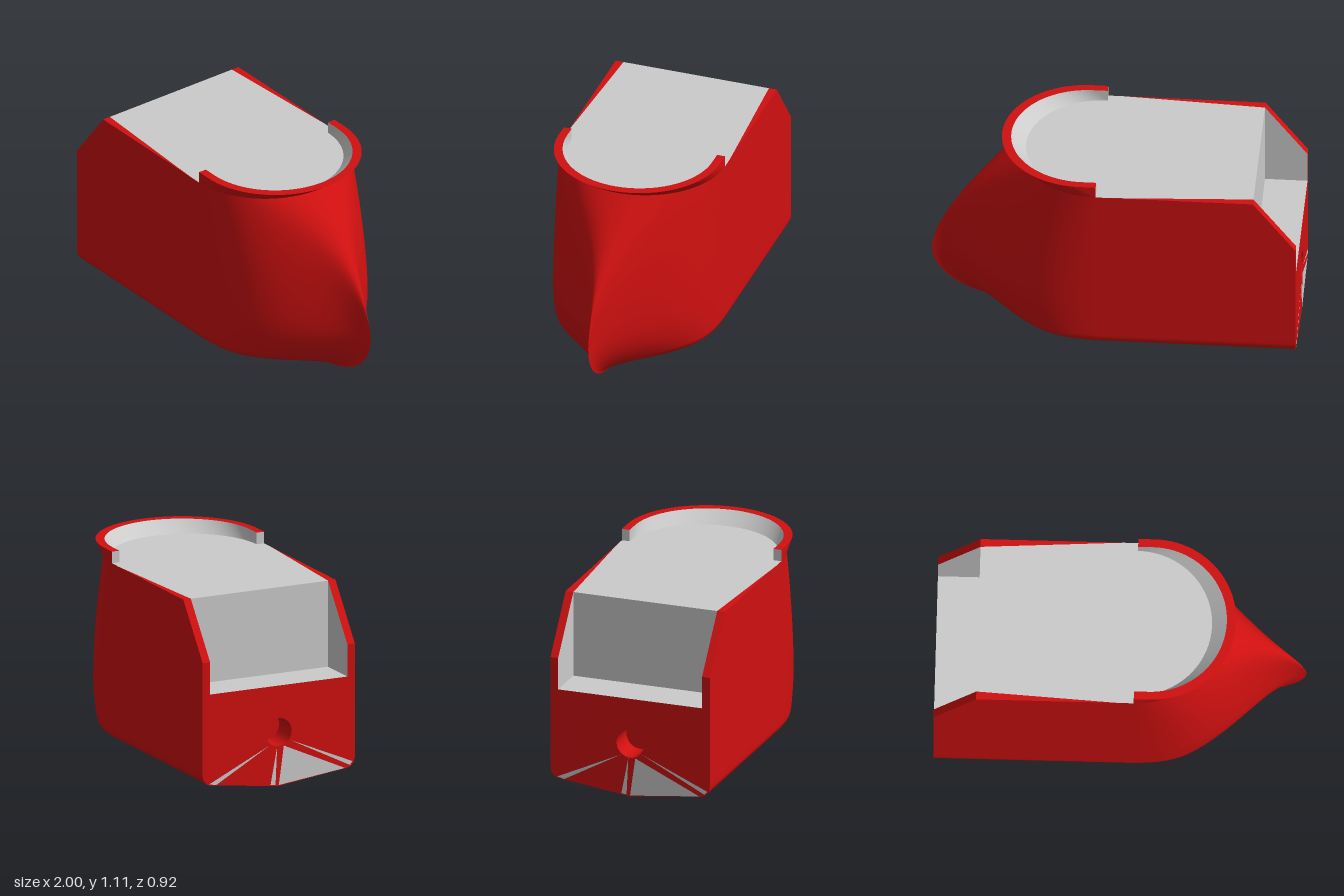
import * as THREE from 'three';

const RED = new THREE.MeshStandardMaterial({ color: 0xd01010, side: THREE.DoubleSide });
const GREY = new THREE.MeshStandardMaterial({ color: 0xcccccc, side: THREE.DoubleSide });

const DECK = 1.04, RIM = 1.105, HALF = 0.46, INNER = 0.415, BOW = 0.08;
const STERN = -1, NOTCH = -0.77, SLOPE = 0.74, FLOOR = 0.56;

// Stem profile: how far forward the hull reaches at height y
function stemX(y) {
  if (y < 0.32) return 0.53 + 0.47 * Math.sqrt(1 - ((0.32 - y) / 0.32) ** 2);
  return 1 - 0.47 * ((y - 0.32) / 0.72) ** 1.6;
}

// Waterline taper: a pointed S-curve low down, round at deck level
function taper(t, y) {
  const pointed = 0.92 * 0.5 * (1 + Math.cos(Math.PI * t ** 1.55)) + 0.08 * (1 - t);
  const round = Math.sqrt(Math.max(0, 1 - t * t));
  const b = Math.max(0, (y - 0.32) / 0.72) ** 1.5;
  return pointed * (1 - b) + round * b;
}

// Smooth surface through rows of points
function surface(rows, flip = false) {
  const n = rows[0].length, index = [];
  for (let i = 0; i < rows.length - 1; i++) {
    for (let j = 0; j < n - 1; j++) {
      const a = i * n + j, b = a + 1, c = a + n, d = c + 1;
      if (flip) index.push(a, c, b, b, c, d);
      else index.push(a, b, c, b, d, c);
    }
  }
  const g = new THREE.BufferGeometry();
  g.setAttribute('position', new THREE.Float32BufferAttribute(rows.flat(2), 3));
  g.setIndex(index);
  g.computeVertexNormals();
  return g;
}

// Flat convex polygon
function polygon(pts) {
  const index = [];
  for (let i = 1; i < pts.length - 1; i++) index.push(0, i, i + 1);
  const g = new THREE.BufferGeometry();
  g.setAttribute('position', new THREE.Float32BufferAttribute(pts.flat(), 3));
  g.setIndex(index);
  g.computeVertexNormals();
  return g;
}

const mirrorZ = (pts) => pts.map(([x, y, z]) => [x, y, -z]);

// Half-oval outline round the bow, from +z to -z
function bowOutline(cx, rx, rz, y) {
  const pts = [[BOW, y, rz]];
  for (let i = 0; i <= 48; i++) {
    const a = Math.PI / 2 - (Math.PI * i) / 48;
    pts.push([cx + rx * Math.cos(a), y, rz * Math.sin(a)]);
  }
  pts.push([BOW, y, -rz]);
  return pts;
}

export function createModel() {
  const model = new THREE.Group();
  const add = (name, geometry, material) => {
    const mesh = new THREE.Mesh(geometry, material);
    mesh.name = name;
    model.add(mesh);
    return mesh;
  };
  const addPair = (name, pts, material) => {
    add(name + 'Left', polygon(pts), material);
    add(name + 'Right', polygon(mirrorZ(pts).reverse()), material);
  };

  // Midship section: shallow V bottom, rounded bilge, upright side
  const section = [];
  for (let i = 0; i < 8; i++) section.push([0.05 * i, 0.00625 * i]);
  for (let i = 0; i <= 8; i++) {
    const a = (Math.PI / 2) * (i / 8);
    section.push([0.4 + 0.06 * Math.sin(a), 0.11 - 0.06 * Math.cos(a)]);
  }
  for (let i = 1; i <= 18; i++) section.push([HALF, 0.11 + ((SLOPE - 0.11) * i) / 18]);
  for (let i = 1; i <= 10; i++) section.push([HALF, SLOPE + ((DECK - SLOPE) * i) / 10]);

  // Hull sides, one waterline per section point
  const rows = section.map(([z, y]) => {
    const start = STERN + Math.max(0, (y - SLOPE) / (DECK - SLOPE)) * (NOTCH - STERN);
    const row = [];
    for (let j = 0; j < 6; j++) row.push([start + ((BOW - start) * j) / 6, y, z]);
    for (let j = 0; j <= 32; j++) {
      const t = j === 32 ? 1 : Math.sin((Math.PI / 2) * (j / 32));
      row.push([BOW + (stemX(y) - BOW) * t, y, j === 32 ? 0 : z * taper(t, y)]);
    }
    return row;
  });
  add('hullLeft', surface(rows), RED);
  add('hullRight', surface(rows.map(mirrorZ), true), RED);

  // Transom with a round hole
  const holeY = 0.3, holeR = 0.078, holeDepth = 0.15;
  const half = section.filter(([, y]) => y <= SLOPE + 1e-6);
  const outline = [...half, [INNER, SLOPE], [INNER, FLOOR]];
  const all = [...outline, ...outline.slice(1).reverse().map(([z, y]) => [-z, y])];
  const shape = new THREE.Shape(all.map(([z, y]) => new THREE.Vector2(z, y)));
  shape.holes.push(new THREE.Path().absarc(0, holeY, holeR, 0, Math.PI * 2, true));
  add('transom', new THREE.ShapeGeometry(shape, 16).rotateY(-Math.PI / 2).translate(STERN, 0, 0), RED);
  const bore = new THREE.CylinderGeometry(holeR, holeR, holeDepth, 32, 1, true).rotateZ(Math.PI / 2);
  add('transomHole', bore.translate(STERN + holeDepth / 2, holeY, 0), RED);
  const bottom = new THREE.CircleGeometry(holeR, 32).rotateY(-Math.PI / 2);
  add('transomHoleEnd', bottom.translate(STERN + holeDepth, holeY, 0), RED);

  // Grey wedges on the transom below the hole
  const wedges = [
    [[0, 0.005], [0.4, 0.052], [0.03, 0.222]],
    [[-0.42, 0.06], [-0.38, 0.05], [-0.05, 0.235]],
    [[0.43, 0.065], [0.445, 0.085], [0.065, 0.25]],
    [[-0.05, 0.012], [-0.02, 0.008], [-0.01, 0.22]],
  ];
  for (const w of wedges) add('transomWedge', polygon(w.map(([z, y]) => [STERN - 0.001, y, z])), GREY);

  // Deck with tapering red edges
  const bowEdge = bowOutline(BOW, 0.45, HALF, DECK);
  add('deck', polygon([[NOTCH, DECK, INNER], [0, DECK, HALF], ...bowEdge,
    [0, DECK, -HALF], [NOTCH, DECK, -INNER]]), GREY);
  addPair('deckEdge', [[NOTCH, DECK, HALF], [0, DECK, HALF], [NOTCH, DECK, INNER]], RED);

  // Stern well: floor, front wall, side walls and sloping side tops
  add('wellFloor', polygon([[STERN, FLOOR, INNER], [NOTCH, FLOOR, INNER],
    [NOTCH, FLOOR, -INNER], [STERN, FLOOR, -INNER]]), GREY);
  add('wellFrontWall', polygon([[NOTCH, FLOOR, -INNER], [NOTCH, FLOOR, INNER],
    [NOTCH, DECK, INNER], [NOTCH, DECK, -INNER]]), GREY);
  addPair('wellSide', [[STERN, FLOOR, INNER], [STERN, SLOPE, INNER],
    [NOTCH, DECK, INNER], [NOTCH, FLOOR, INNER]], GREY);
  addPair('wellSideTop', [[STERN, SLOPE, HALF], [NOTCH, DECK, HALF],
    [NOTCH, DECK, INNER], [STERN, SLOPE, INNER]], RED);

  // Flared bow rim
  const outerTop = bowOutline(0.17, 0.45, HALF, RIM);
  const innerTop = bowOutline(0.16, 0.41, INNER, RIM);
  const innerBottom = bowOutline(BOW, 0.41, INNER, DECK);
  add('rimOutside', surface([bowEdge, outerTop]), RED);
  add('rimTop', surface([outerTop, innerTop]), RED);
  add('rimInside', surface([innerTop, innerBottom]), GREY);
  addPair('rimEnd', [[BOW, DECK, HALF], [BOW, RIM, HALF], [BOW, RIM, INNER], [BOW, DECK, INNER]], GREY);

  return model;
}
